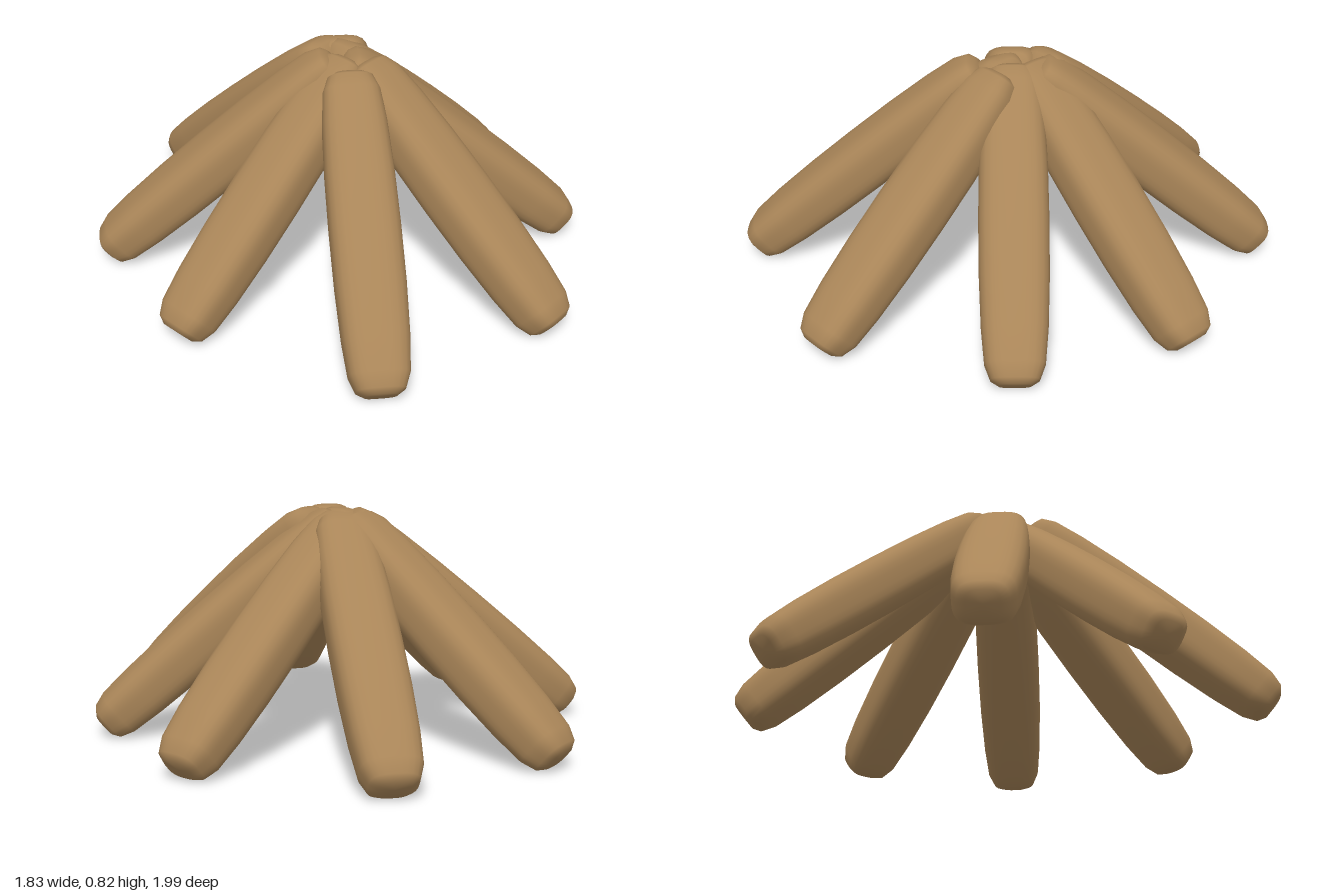
import * as THREE from 'three';
import { mergeVertices } from 'three/addons/utils/BufferGeometryUtils.js';

const TILT = THREE.MathUtils.degToRad(40);
const REACH = 0.47; // horizontal distance from a log's middle to its tip

// Barrel-shaped log with blunt rounded ends and a rounded-rectangle section
function logGeometry() {
  const half = [[0.57, 0], [0.57, 0.055], [0.552, 0.083], [0.5, 0.103], [0.38, 0.114], [0.2, 0.121]];
  const profile = [
    ...half.map(([s, r]) => new THREE.Vector2(r, -s)),
    new THREE.Vector2(0.123, 0),
    ...half.slice().reverse().map(([s, r]) => new THREE.Vector2(r, s)),
  ];
  let geo = new THREE.LatheGeometry(profile, 32);

  // Square off the round section and flatten it a little
  const pos = geo.attributes.position;
  for (let i = 0; i < pos.count; i++) {
    const x = pos.getX(i), z = pos.getZ(i), r = Math.hypot(x, z);
    if (r < 1e-6) continue;
    const n = 3.2;
    const k = 1 / Math.pow(Math.pow(Math.abs(x / r), n) + Math.pow(Math.abs(z / r), n), 1 / n);
    pos.setXYZ(i, x * k, pos.getY(i), z * k * 0.83);
  }
  geo.deleteAttribute('uv');
  geo.deleteAttribute('normal');
  geo = mergeVertices(geo, 1e-4);
  geo.rotateX(Math.PI / 2 + TILT); // outer end points down towards +z
  geo.computeVertexNormals();
  return geo;
}

export function createModel() {
  const model = new THREE.Group();
  model.name = 'logPile';
  const wood = new THREE.MeshStandardMaterial({ color: 0xa98558 });
  wood.name = 'wood';
  const geo = logGeometry();

  // Foot position (x, z) and heading in degrees from +z towards +x
  const logs = [
    ['frontLog', 0.025, 1.0, 0],
    ['frontLeftLog', 0.7, 0.685, 43],
    ['leftLog', 0.92, -0.015, 90],
    ['backLeftLog', 0.69, -0.65, 130],
    ['backLog', 0.025, -1.0, 180],
    ['backRightLog', -0.61, -0.78, 221],
    ['rightLog', -0.92, -0.015, 270],
    ['frontRightLog', -0.655, 0.575, 310],
  ];
  for (const [name, x, z, heading] of logs) {
    const a = THREE.MathUtils.degToRad(heading);
    const log = new THREE.Mesh(geo, wood);
    log.name = name;
    log.position.set(x - REACH * Math.sin(a), 0.404, z - REACH * Math.cos(a));
    log.rotation.y = a;
    model.add(log);
  }
  return model;
}
